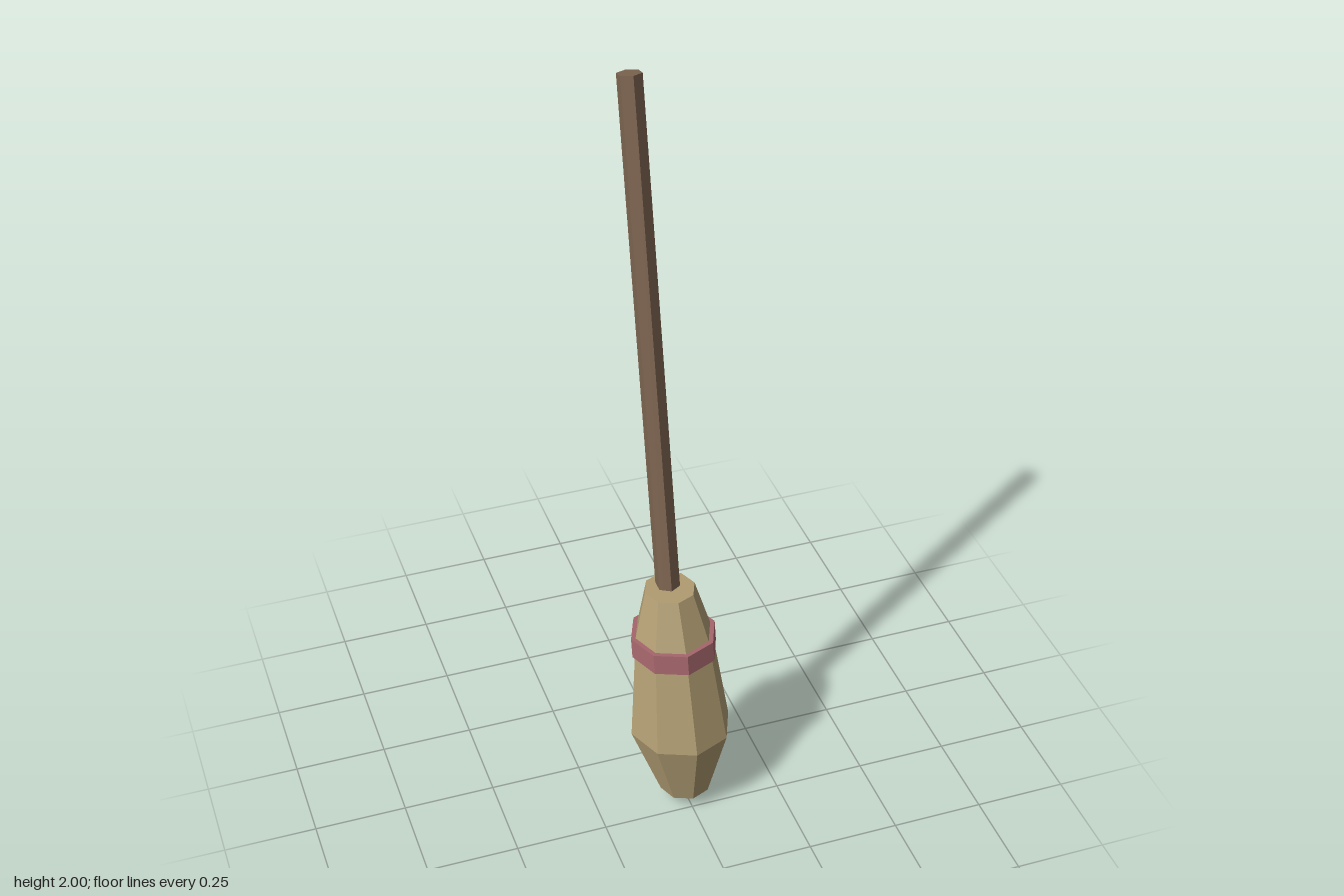
import * as THREE from 'three';

const material = (color) => new THREE.MeshStandardMaterial({ color, flatShading: true, roughness: 0.9 });

// Eight-sided lathe whose level rings slide along z with height, following the lean
function leaningLathe(name, profile, color) {
  const geometry = new THREE.LatheGeometry(profile.map(([r, y]) => new THREE.Vector2(r, y)), 8);
  const pos = geometry.attributes.position;
  for (let i = 0; i < pos.count; i++) {
    pos.setZ(i, pos.getZ(i) + 0.194 - 0.22 * pos.getY(i));
  }
  geometry.computeVertexNormals();
  const mesh = new THREE.Mesh(geometry, material(color));
  mesh.name = name;
  return mesh;
}

export function createModel() {
  const broom = new THREE.Group();
  broom.name = 'broom';

  // Hexagonal stick leaning backwards, its tip poking out under the bristles
  const bottom = new THREE.Vector3(0, 0.007, 0.171);
  const top = new THREE.Vector3(0, 1.993, -0.252);
  const handle = new THREE.Mesh(
    new THREE.CylinderGeometry(0.0335, 0.0335, bottom.distanceTo(top), 6),
    material(0x7d6450)
  );
  handle.name = 'handle';
  handle.position.lerpVectors(bottom, top, 0.5);
  handle.rotation.x = Math.atan2(top.z - bottom.z, top.y - bottom.y);
  broom.add(handle);

  // Bundle of bristles, widest low down
  broom.add(leaningLathe('bristles', [
    [0, 0.035], [0.07, 0.035], [0.14, 0.22], [0.106, 0.5], [0.07, 0.625], [0, 0.625],
  ], 0xb09c72));

  // Binding band around the bristles
  broom.add(leaningLathe('band', [
    [0.1, 0.447], [0.119, 0.447], [0.119, 0.5], [0.1, 0.5],
  ], 0xa5666c));

  return broom;
}
